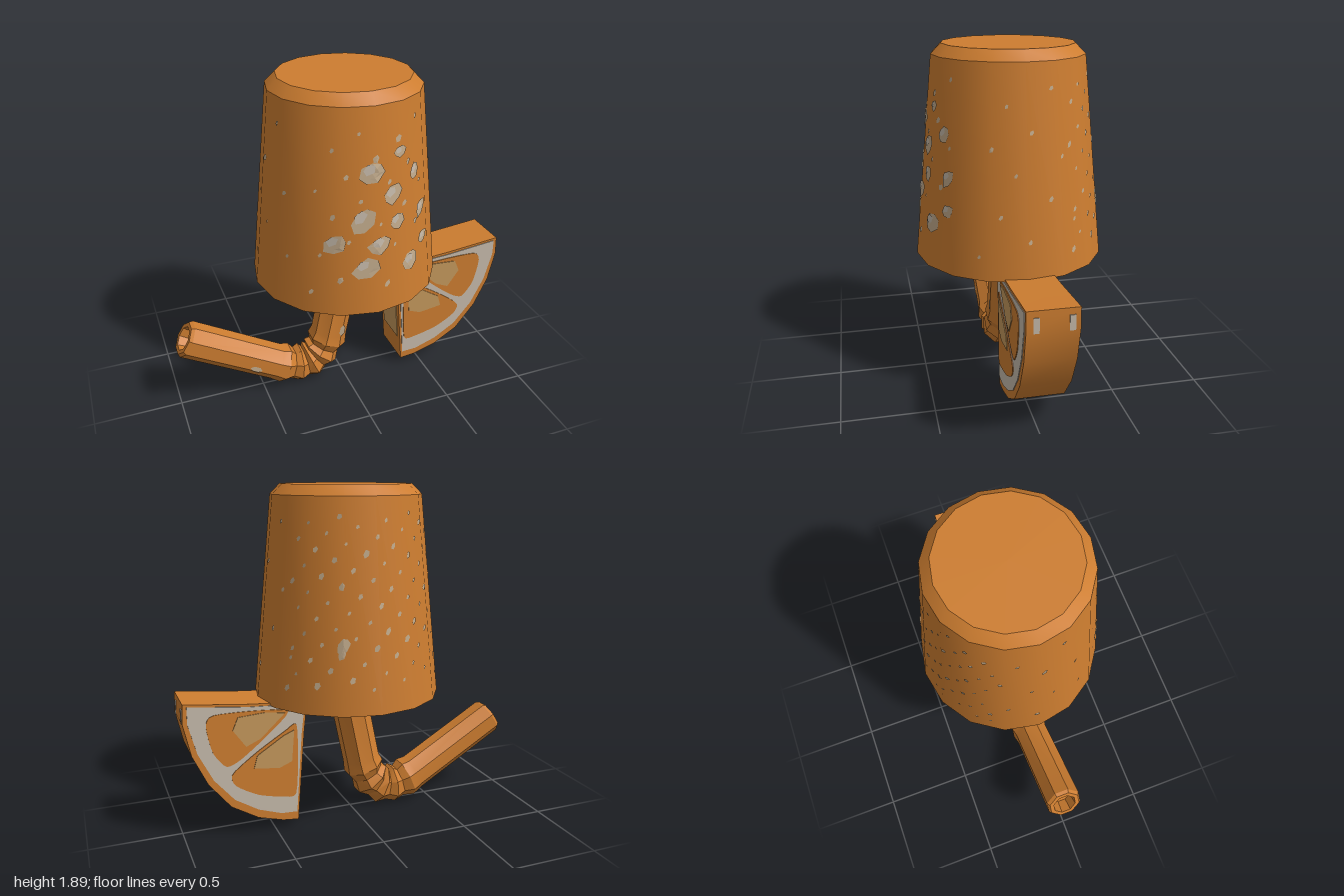
import * as THREE from 'three';
import { toCreasedNormals } from 'three/addons/utils/BufferGeometryUtils.js';

const mat = (name, color, side = THREE.FrontSide) => {
  const m = new THREE.MeshStandardMaterial({ color, side });
  m.name = name;
  return m;
};

const CUP_X = 0.025, SIDES = 16;
const cupRadius = (y) => 0.525 - 0.11 * (y - 0.735) / 1.105;

// Point just outside the faceted cup wall, at angle a measured from the front
function wallPoint(a, y, lift) {
  const step = Math.PI * 2 / SIDES;
  const off = a - (Math.floor(a / step) + 0.5) * step;
  const r = cupRadius(y) * Math.cos(step / 2) / Math.cos(off) + lift;
  return [CUP_X + r * Math.sin(a), y, r * Math.cos(a)];
}

// Irregular flat chip lying on the cup wall, as a centre fan plus one outer ring
function addChip(out, a, y, w, h, rnd, lift, corners = 7) {
  const r = cupRadius(y), turn = rnd() * 6;
  const edge = Array.from({ length: corners }, (_, i) => {
    const t = turn + i / corners * Math.PI * 2, k = 0.8 + 0.35 * rnd();
    return [Math.cos(t) * w / 2 * k, Math.sin(t) * h / 2 * k];
  });
  const at = (p, s) => wallPoint(a + (p[0] * s + p[1] * s * 0.3) / r, y + p[1] * s, lift);
  for (let i = 0; i < corners; i++) {
    const p = edge[i], q = edge[(i + 1) % corners];
    const c = wallPoint(a, y, lift), pm = at(p, 0.5), qm = at(q, 0.5), po = at(p, 1), qo = at(q, 1);
    out.push(...c, ...pm, ...qm, ...pm, ...po, ...qo, ...pm, ...qo, ...qm);
  }
}

function fromTriangles(points) {
  const g = new THREE.BufferGeometry();
  g.setAttribute('position', new THREE.Float32BufferAttribute(points, 3));
  g.computeVertexNormals();
  return g;
}

// Octagonal tube through rings of { x, y, angle, r }
function sweep(rings, n = 8) {
  const pos = [], idx = [];
  rings.forEach(({ x, y, angle, r }, i) => {
    for (let j = 0; j < n; j++) {
      const a = (j + 0.5) / n * Math.PI * 2, c = r * Math.cos(a);
      pos.push(x - Math.sin(angle) * c, Math.max(0, y + Math.cos(angle) * c), r * Math.sin(a));
      if (i < rings.length - 1) {
        const p = i * n + j, q = i * n + (j + 1) % n;
        idx.push(p, q, p + n, q, q + n, p + n);
      }
    }
  });
  const g = new THREE.BufferGeometry();
  g.setAttribute('position', new THREE.Float32BufferAttribute(pos, 3));
  g.setIndex(idx);
  return toCreasedNormals(g, 0.5);
}

const outline = (pts) => new THREE.Shape(pts.map(([x, y]) => new THREE.Vector2(x, y)));
const rounded = (pts) => new THREE.Shape(
  new THREE.CatmullRomCurve3(pts.map(([x, y]) => new THREE.Vector3(x, y, 0)), true, 'catmullrom', 0.35)
    .getPoints(32).map((p) => new THREE.Vector2(p.x, p.y)));

export function createModel() {
  const model = new THREE.Group();
  model.name = 'citrusDrink';
  const orange = mat('orange', 0xcd7d30);
  const pith = mat('pith', 0xc6baab, THREE.DoubleSide);
  const pale = mat('palePulp', 0xc4985c);
  const frost = mat('frost', 0xc2ab8c, THREE.DoubleSide);
  const add = (parent, name, geometry, material) => {
    const m = new THREE.Mesh(geometry, material);
    m.name = name;
    parent.add(m);
    return m;
  };

  // Upturned cup with a bevelled base and a slightly sunken drink surface
  const cup = new THREE.Group();
  cup.name = 'cup';
  model.add(cup);
  const profile = [[0, 0.79], [0.5, 0.79], [0.525, 0.735], [0.415, 1.84], [0.36, 1.895], [0, 1.895]];
  const body = new THREE.LatheGeometry(profile.map(([x, y]) => new THREE.Vector2(x, y)), SIDES);
  add(cup, 'cupBody', toCreasedNormals(body, 0.5), orange).position.x = CUP_X;

  // Ice chips on the front, each with a brighter facet
  let seed = 7;
  const rnd = () => (seed = (seed * 16807) % 2147483647) / 2147483647;
  const chips = [[0, 1.51, 0.13, 0.12], [0.16, 1.59, 0.07, 0.06], [0.26, 1.46, 0.08, 0.09],
    [0.12, 1.38, 0.12, 0.11], [-0.05, 1.26, 0.13, 0.15], [-0.19, 1.14, 0.12, 0.11],
    [0.04, 1.12, 0.13, 0.11], [0.14, 1.23, 0.09, 0.1], [0.31, 1.24, 0.08, 0.1],
    [0.33, 1.07, 0.08, 0.08], [-0.04, 1.0, 0.14, 0.11], [0.23, 0.98, 0.12, 0.11]];
  const ice = [], shine = [], dots = [];
  for (const [x, y, w, h] of chips) {
    const a = Math.asin((x - CUP_X) / cupRadius(y));
    addChip(ice, a, y, w, h, rnd, 0.006);
    addChip(shine, a - w * 0.25, y + h * 0.15, w * 0.5, h * 0.5, rnd, 0.009, 5);
  }
  add(cup, 'iceChips', fromTriangles(ice), frost);
  add(cup, 'iceFacets', fromTriangles(shine), pith);

  // Small droplets, densest at the back: [centre angle, half spread, count]
  for (const [mid, spread, count] of [[Math.PI, 1.05, 75], [0, 0.75, 24], [1.57, 0.6, 11], [-1.57, 0.6, 11]]) {
    for (let i = 0; i < count; i++) {
      const s = 0.018 + 0.025 * rnd() * rnd();
      const a = mid + spread * (2 * (i + rnd()) / count - 1);
      addChip(dots, a, 0.86 + 0.9 * ((i * 0.618) % 1), s, s * 1.25, rnd, 0.004, 5);
    }
  }
  addChip(dots, 2.75, 1.1, 0.06, 0.09, rnd, 0.005);
  add(cup, 'droplets', fromTriangles(dots), frost);

  // Bendy straw: hollow mouth, straight tube, ridged bend, upright tube
  const straw = new THREE.Group();
  straw.name = 'straw';
  model.add(straw);
  const tip = -0.55, up = 1.365, R = 0.108;
  const rings = [
    { x: -0.88, y: 0.418, angle: tip, r: 0 }, { x: -0.88, y: 0.418, angle: tip, r: 0.06 },
    { x: -0.945, y: 0.458, angle: tip, r: 0.07 }, { x: -0.945, y: 0.458, angle: tip, r: 0.095 },
    { x: -0.93, y: 0.449, angle: tip, r: R }];
  const bend = new THREE.QuadraticBezierCurve(
    new THREE.Vector2(-0.42, 0.15), new THREE.Vector2(-0.14, 0), new THREE.Vector2(-0.07, 0.3));
  for (let i = 0; i <= 10; i++) {
    const p = bend.getPoint(i / 10), t = bend.getTangent(i / 10);
    const r = i === 0 || i === 10 ? R : i % 2 ? 0.12 : 0.096;
    rings.push({ x: p.x, y: p.y, angle: Math.atan2(t.y, t.x), r });
  }
  rings.push({ x: 0.038, y: 0.82, angle: up, r: R });
  add(straw, 'strawTube', sweep(rings), orange);
  for (const [x, y, turn] of [[-0.56, 0.2, tip], [-0.02, 0.34, up]]) {
    const glint = add(straw, 'strawGlint', new THREE.CircleGeometry(0.04, 6), frost);
    glint.scale.y = 0.45;
    glint.rotation.z = turn;
    glint.position.set(x, y, 0.103);
  }

  // Citrus wedge: nested slabs, each standing a hair proud of the last on both faces
  const wedge = new THREE.Group();
  wedge.name = 'citrusWedge';
  model.add(wedge);
  const slab = (name, shape, layer, material) => {
    const lift = layer * 0.004;
    const g = new THREE.ExtrudeGeometry(shape, { depth: 0.265 + 2 * lift, bevelEnabled: false });
    g.translate(0, 0, -0.145 - lift);
    add(wedge, name, toCreasedNormals(g, 0.5), material);
  };
  slab('rind', outline([[0.31, 0.73], [0.33, 0.55], [0.37, 0.04], [0.46, 0.05], [0.6, 0.09], [0.75, 0.18],
    [0.87, 0.33], [0.95, 0.5], [0.99, 0.68], [0.985, 0.79], [0.65, 0.755]]), 0, orange);
  slab('pithFace', outline([[0.325, 0.72], [0.345, 0.55], [0.378, 0.09], [0.47, 0.095], [0.6, 0.14], [0.73, 0.22],
    [0.84, 0.35], [0.92, 0.51], [0.965, 0.68], [0.965, 0.775], [0.65, 0.74]]), 1, pith);
  slab('upperSegment', rounded([[0.42, 0.69], [0.6, 0.715], [0.83, 0.715], [0.87, 0.66], [0.84, 0.51],
    [0.77, 0.42], [0.69, 0.45], [0.55, 0.56]]), 2, orange);
  slab('lowerSegment', rounded([[0.375, 0.61], [0.44, 0.58], [0.6, 0.48], [0.74, 0.37], [0.72, 0.3],
    [0.6, 0.23], [0.46, 0.195], [0.385, 0.2], [0.37, 0.4]]), 2, orange);
  slab('upperHighlight', outline([[0.44, 0.685], [0.55, 0.7], [0.7, 0.69], [0.73, 0.62], [0.66, 0.52], [0.58, 0.555]]), 3, pale);
  slab('lowerHighlight', outline([[0.39, 0.58], [0.45, 0.555], [0.6, 0.46], [0.62, 0.39], [0.48, 0.37], [0.405, 0.4]]), 3, pale);

  // Pulp strip on the narrow cut face
  const strip = add(wedge, 'cutFaceStrip', new THREE.BoxGeometry(0.008, 0.36, 0.2), pale);
  strip.position.set(0.344, 0.37, -0.012);
  strip.rotation.z = 0.078;

  // Pith flecks at the outer tip
  for (const z of [0.07, -0.105]) {
    add(wedge, 'tipFleck', new THREE.BoxGeometry(0.006, 0.08, 0.03), pith).position.set(0.988, 0.715, z);
  }
  return model;
}
